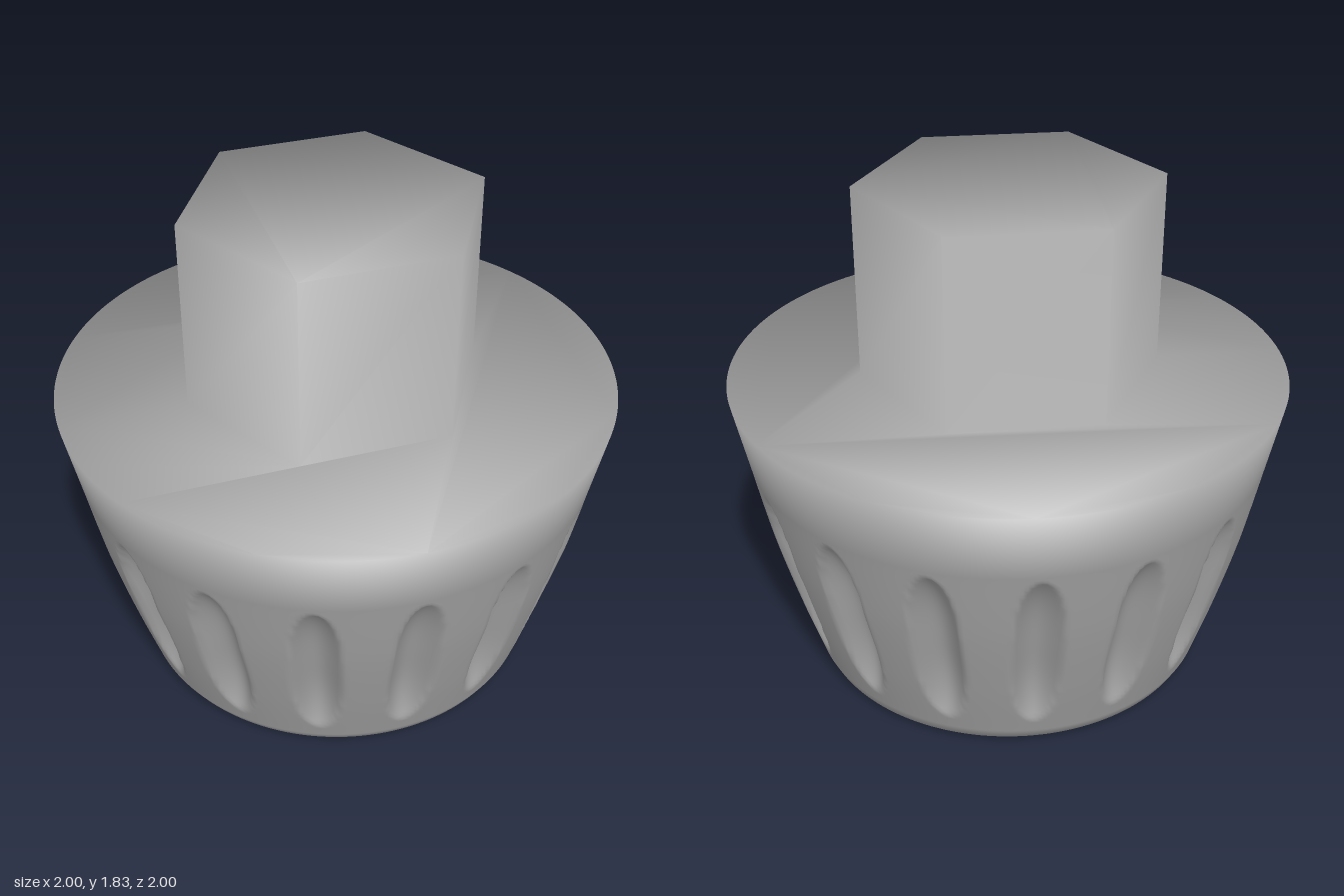
import * as THREE from 'three';
import { mergeGeometries, mergeVertices } from 'three/addons/utils/BufferGeometryUtils.js';

const SCOOPS = 16;
const SEGMENTS = 384;
const TOP = 1.13;
const grey = new THREE.MeshStandardMaterial({ color: 0xa4a4a4 });
const vec = (points) => points.map(([x, y]) => new THREE.Vector2(x, y));

// Welds the pieces and gives them smooth normals, weighted by corner angle
function smooth(...pieces) {
  for (const piece of pieces) {
    piece.deleteAttribute('uv');
    piece.deleteAttribute('normal');
  }
  const geometry = mergeVertices(mergeGeometries(pieces), 1e-4);
  const p = geometry.attributes.position, index = geometry.index;
  const normals = Array.from({ length: p.count }, () => new THREE.Vector3());
  const face = new THREE.Triangle();
  const n = new THREE.Vector3(), e1 = new THREE.Vector3(), e2 = new THREE.Vector3();
  for (let i = 0; i < index.count; i += 3) {
    const ids = [0, 1, 2].map((k) => index.getX(i + k));
    face.setFromAttributeAndIndices(p, ...ids);
    face.getNormal(n);
    const corners = [face.a, face.b, face.c];
    ids.forEach((id, k) => {
      e1.subVectors(corners[(k + 1) % 3], corners[k]);
      e2.subVectors(corners[(k + 2) % 3], corners[k]);
      normals[id].addScaledVector(n, e1.angleTo(e2));
    });
  }
  const normalAttribute = new THREE.BufferAttribute(new Float32Array(p.count * 3), 3);
  normals.forEach((v, i) => normalAttribute.setXYZ(i, ...v.normalize()));
  geometry.setAttribute('normal', normalAttribute);
  return geometry;
}

// Moves every vertex of a geometry by a rule
function reshape(geometry, rule) {
  const p = geometry.attributes.position;
  for (let i = 0; i < p.count; i++) {
    p.setXYZ(i, ...rule(p.getX(i), p.getY(i), p.getZ(i)));
  }
  return geometry;
}

// Angle to the middle of the nearest scoop
function scoopAngle(x, z) {
  const step = (2 * Math.PI) / SCOOPS;
  const a = Math.atan2(x, z);
  return a - Math.round(a / step) * step;
}

// Tapered side with lens-shaped scoops and a slightly tilted bottom rim
function gripSide() {
  const wall = new THREE.SplineCurve(vec([[0.745, 0.06], [0.817, 0.3], [0.89, 0.58], [0.948, 0.87]]));
  const profile = vec([[0.6, 0.05], [0.615, 0.03], [0.64, 0.016], [0.67, 0.01], [0.7, 0.012], [0.728, 0.028]]);
  profile.push(...wall.getPoints(50), new THREE.Vector2(1, TOP));
  return reshape(new THREE.LatheGeometry(profile, SEGMENTS), (x, y, z) => {
    const r = Math.hypot(x, z);
    const u = (scoopAngle(x, z) * r) / 0.088;
    const v = Math.abs(y - 0.49) / 0.36;
    const depth = r < 0.74 ? 0 : 0.075 * Math.max(0, 1 - u * u - v ** 3);
    const s = 1 - depth / r;
    return [x * s, y + 0.01 * (z - x) * Math.max(0, 1 - y / 0.05), z * s];
  });
}

// Points of a ring, laid out for a flat shape turned to face up
function ring(count, radius, start, cx = 0, cz = 0) {
  return Array.from({ length: count }, (_, i) => {
    const a = start + (i / count) * 2 * Math.PI;
    return new THREE.Vector2(cx + radius * Math.sin(a), -cz - radius * Math.cos(a));
  });
}

const flat = (shape, y) => new THREE.ShapeGeometry(shape).rotateX(-Math.PI / 2).translate(0, y, 0);

// Grip side, flat shoulder and hexagonal drive in one skin
function outerGeometry() {
  const [radius, height, cx, cz] = [0.538, 0.7, -0.008, 0.003];
  const corners = ring(6, radius, Math.PI / 2, cx, cz);
  const shoulder = new THREE.Shape(ring(SEGMENTS, 1, 0));
  shoulder.holes.push(new THREE.Path(corners));
  const hexSides = new THREE.CylinderGeometry(radius, radius, height, 6, 1, true);
  hexSides.rotateY(Math.PI / 2).translate(cx, TOP + height / 2, cz);
  return smooth(gripSide(), flat(shoulder, TOP), hexSides, flat(new THREE.Shape(corners), TOP + height));
}

// Bowl-shaped underside channel, ribbed where the scoops pass
function channelGeometry() {
  const bowl = new THREE.SplineCurve(vec([[0.36, 0.45], [0.43, 0.45], [0.5, 0.38], [0.56, 0.25], [0.595, 0.12], [0.6, 0.05]]));
  return smooth(reshape(new THREE.LatheGeometry(bowl.getPoints(24), 192), (x, y, z) => {
    const r = Math.hypot(x, z);
    const fade = THREE.MathUtils.smoothstep(y, 0.05, 0.14) * THREE.MathUtils.smoothstep(r, 0.4, 0.5);
    const s = 1 - (0.02 * fade * (1 + Math.cos(SCOOPS * scoopAngle(x, z)))) / r;
    return [x * s, y, z * s];
  }));
}

// Central hub: blind hole, dished end and rounded lip
function hubGeometry() {
  const profile = vec([
    [0, 0.5], [0.11, 0.5], [0.11, 0.33], [0.13, 0.315], [0.2, 0.31], [0.26, 0.295], [0.3, 0.27],
    [0.32, 0.24], [0.335, 0.225], [0.348, 0.222], [0.358, 0.232], [0.363, 0.255], [0.363, 0.46],
  ]);
  return smooth(new THREE.LatheGeometry(profile, 96));
}

export function createModel() {
  const model = new THREE.Group();
  model.name = 'hexKnob';
  const parts = { gripAndHexDrive: outerGeometry(), undersideChannel: channelGeometry(), hub: hubGeometry() };
  for (const [name, geometry] of Object.entries(parts)) {
    const mesh = new THREE.Mesh(geometry, grey);
    mesh.name = name;
    model.add(mesh);
  }
  return model;
}
